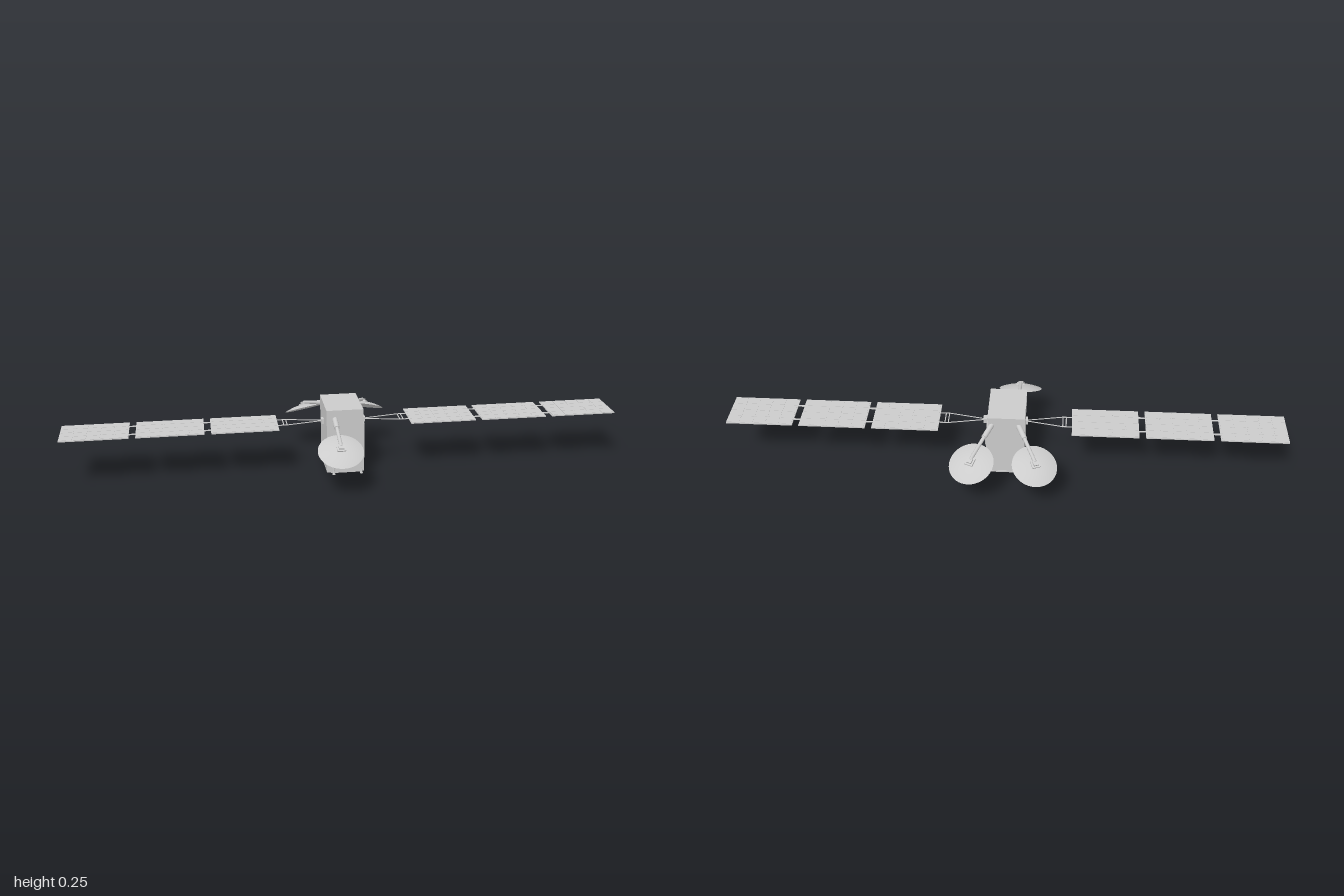
import * as THREE from 'three';

const V = (x, y, z) => new THREE.Vector3(x, y, z);
const grey = new THREE.MeshStandardMaterial({ color: 0xcccccc });
const greyDouble = new THREE.MeshStandardMaterial({ color: 0xcccccc, side: THREE.DoubleSide });
const ZC = -0.008; // z of the wing axis
const WING_Y = 0.185;

function add(parent, name, geometry, x = 0, y = 0, z = 0, material = grey) {
  const mesh = new THREE.Mesh(geometry, material);
  mesh.name = name;
  mesh.position.set(x, y, z);
  parent.add(mesh);
  return mesh;
}

// Box given by its limits on each axis
function slab(parent, name, x0, x1, y0, y1, z0, z1) {
  return add(parent, name, new THREE.BoxGeometry(x1 - x0, y1 - y0, z1 - z0),
    (x0 + x1) / 2, (y0 + y1) / 2, (z0 + z1) / 2);
}

// Straight round bar between two points
function rod(parent, name, a, b, r, sides = 8) {
  const mesh = add(parent, name, new THREE.CylinderGeometry(r, r, a.distanceTo(b), sides));
  mesh.position.copy(a).lerp(b, 0.5);
  mesh.quaternion.setFromUnitVectors(V(0, 1, 0), b.clone().sub(a).normalize());
  return mesh;
}

// Main box, stepped upper block and fittings
function makeBody() {
  const g = new THREE.Group();
  g.name = 'body';
  slab(g, 'lowerBody', -0.07, 0.065, 0.016, 0.198, -0.092, 0.078);
  slab(g, 'upperBody', -0.072, 0.06, 0.198, 0.254, -0.093, 0.085);

  // Rounded tanks and round port on the side
  for (const z of [0.022, -0.037]) {
    add(g, 'sideCapsule', new THREE.CapsuleGeometry(0.008, 0.054, 6, 16), 0.065, 0.121, z);
  }
  const port = add(g, 'sidePort', new THREE.CylinderGeometry(0.0125, 0.0125, 0.006, 24), 0.066, 0.128, -0.006);
  port.rotation.z = Math.PI / 2;

  // Hollow main nozzle under the body
  const ring = [[0, 0.012], [0.022, 0.012], [0.027, 0], [0.034, 0], [0.034, 0.017]];
  add(g, 'mainNozzle', new THREE.LatheGeometry(ring.map(p => new THREE.Vector2(...p)), 32),
    0, 0, -0.006, greyDouble);

  // Small thrusters on the lower edges
  const thruster = (x, z) => {
    const t = new THREE.Group();
    t.name = 'thruster';
    t.position.set(x, 0, z);
    add(t, 'thrusterBell', new THREE.CylinderGeometry(0.002, 0.006, 0.012, 12, 1, true), 0, 0.013, 0, greyDouble);
    add(t, 'thrusterMount', new THREE.CylinderGeometry(0.001, 0.005, 0.018, 4), 0, 0.027, 0);
    g.add(t);
  };
  thruster(-0.045, 0.077);
  thruster(0.055, 0.077);
  thruster(-0.045, -0.092);
  thruster(0.06, -0.092);
  for (const z of [-0.066, -0.079]) {
    for (const x of [-0.05, 0.05]) {
      add(g, 'smallNozzle', new THREE.CylinderGeometry(0.002, 0.004, 0.014, 10), x, 0.01, z);
    }
  }
  for (const z of [-0.08, 0.066]) slab(g, 'thrusterRail', -0.055, 0.06, 0.012, 0.017, z - 0.014, z + 0.01);
  return g;
}

// One solar wing along +x: hinge, yoke and three panels
function makeWing() {
  const g = new THREE.Group();
  g.position.set(0, WING_Y, ZC);
  slab(g, 'hinge', 0.06, 0.08, -0.009, 0.009, -0.0125, 0.0125);
  for (const s of [-1, 1]) {
    rod(g, 'yokeArm', V(0.078, 0, s * 0.003), V(0.205, 0, s * 0.028), 0.0018);
    rod(g, 'yokeRail', V(0.202, 0, s * 0.028), V(0.24, 0, s * 0.028), 0.002);
  }
  for (const x of [0.205, 0.217]) rod(g, 'yokeCrossbar', V(x, 0, -0.029), V(x, 0, 0.029), 0.002);

  const W = 0.2385, D = 0.154, cols = 5, rows = 4, gap = 0.004;
  const cw = (W - gap) / cols, cd = (D - gap) / rows;
  for (let p = 0; p < 3; p++) {
    const panel = new THREE.Group();
    panel.name = 'solarPanel';
    panel.position.x = 0.2375 + p * 0.262;
    slab(panel, 'panelPlate', 0, W, -0.0022, 0.0016, -D / 2, D / 2);
    for (let i = 0; i < cols; i++) {
      for (let j = 0; j < rows; j++) {
        const x = gap + i * cw, z = -D / 2 + gap + j * cd;
        slab(panel, 'solarCell', x, x + cw - gap, 0.001, 0.0024, z, z + cd - gap);
      }
    }
    if (p < 2) {
      for (const s of [-1, 1]) slab(panel, 'panelLink', W - 0.002, W + 0.026, -0.002, 0.001, s * 0.04 - 0.003, s * 0.04 + 0.003);
    }
    g.add(panel);
  }
  return g;
}

// Domed reflector on a two-stage arm, reaching out along +z
function makeDish(x, z, turn) {
  const g = new THREE.Group();
  g.name = 'dishAssembly';
  g.position.set(x, 0, z);
  g.rotation.y = turn;

  const head = new THREE.Group();
  head.name = 'dish';
  head.position.set(0, 0.1565, 0);
  head.rotation.x = THREE.MathUtils.degToRad(25);
  const R = 0.0795, H = 0.016, profile = [];
  for (let i = 0; i <= 12; i++) {
    const t = i / 12;
    profile.push(new THREE.Vector2(R * (1 - t), H * (1 - (1 - t) ** 2)));
  }
  add(head, 'reflector', new THREE.LatheGeometry(profile, 40), 0, 0, 0, greyDouble);
  slab(head, 'hubPlate', -0.015, 0.015, 0.014, 0.02, -0.015, 0.015);
  slab(head, 'hubBlock', -0.009, 0.009, 0.02, 0.026, -0.009, 0.009);
  g.add(head);

  rod(g, 'armInner', V(0, 0.225, -0.165), V(0, 0.207, -0.095), 0.0095, 20);
  rod(g, 'armOuter', V(0, 0.21, -0.105), V(0, 0.178, 0.006), 0.0065, 16);
  return g;
}

export function createModel() {
  const model = new THREE.Group();
  model.name = 'satellite';
  model.add(makeBody());

  const leftWing = makeWing();
  leftWing.name = 'leftWing';
  const rightWing = makeWing();
  rightWing.name = 'rightWing';
  rightWing.rotation.y = Math.PI;
  model.add(leftWing, rightWing);

  // One dish in front, two splayed behind
  const splay = THREE.MathUtils.degToRad(24);
  model.add(makeDish(-0.042, 0.23, 0));
  model.add(makeDish(-0.112, -0.228, Math.PI + splay));
  model.add(makeDish(0.107, -0.228, Math.PI - splay));
  return model;
}
